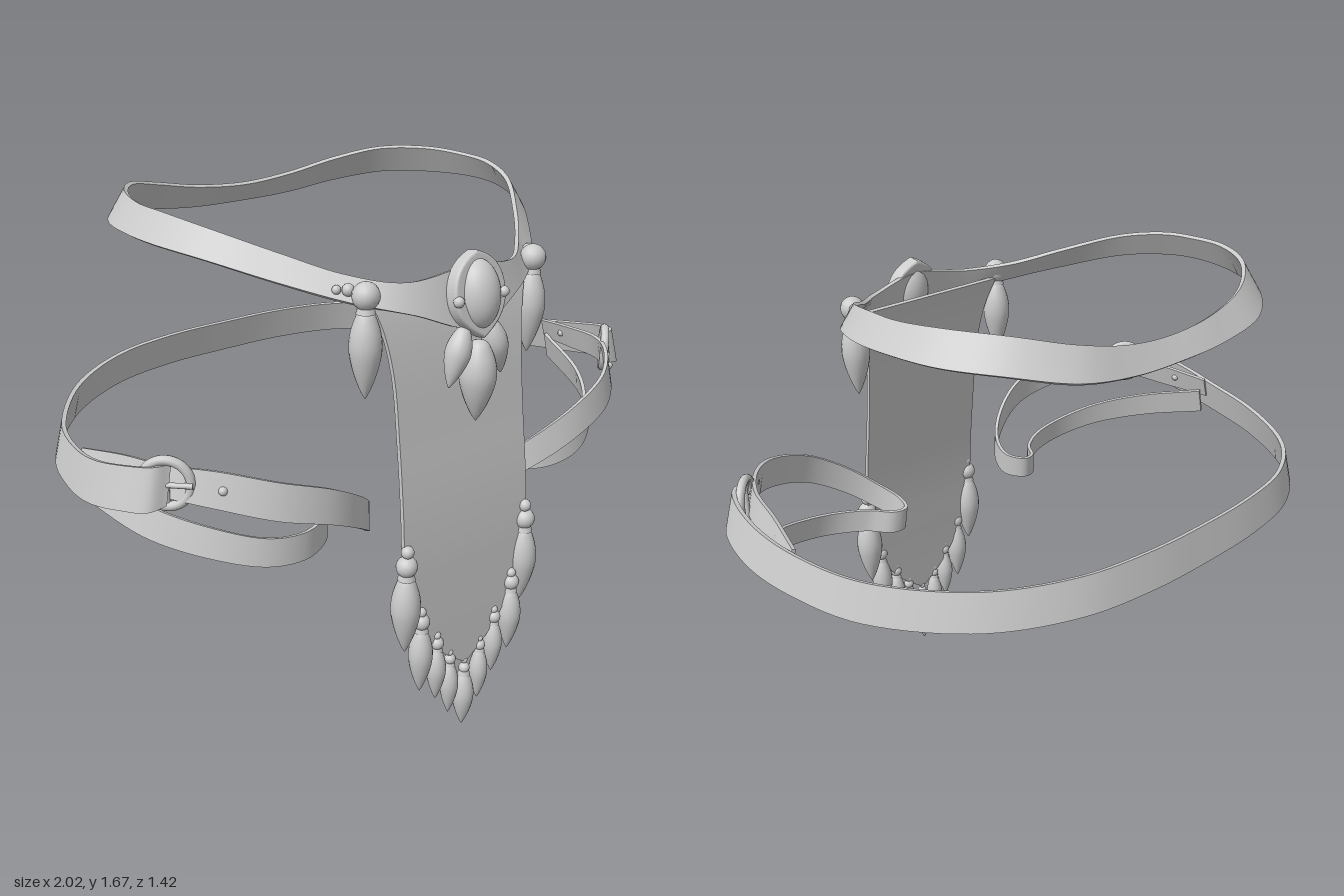
import * as THREE from 'three';

const mat = new THREE.MeshStandardMaterial({ color: 0xcccccc, side: THREE.DoubleSide });
const V = (x, y, z) => new THREE.Vector3(x, y, z);

function add(parent, name, geo, pos = [0, 0, 0], rot = [0, 0, 0], scale = [1, 1, 1]) {
  const m = new THREE.Mesh(geo, mat);
  m.name = name;
  m.position.set(...pos);
  m.rotation.set(...rot);
  m.scale.set(...scale);
  parent.add(m);
  return m;
}

// Flat strap of rectangular section, lofted between two edge rails
function strap(railA, railB, thick, steps, closed = false) {
  const ca = new THREE.CatmullRomCurve3(railA, closed), cb = new THREE.CatmullRomCurve3(railB, closed);
  const rows = [];
  for (let i = 0; i <= steps; i++) {
    const t = i / steps, a = ca.getPoint(t), b = cb.getPoint(t);
    const dir = ca.getTangent(t).add(cb.getTangent(t));
    const n = dir.cross(b.clone().sub(a)).normalize().multiplyScalar(thick / 2);
    rows.push([a.clone().add(n), b.clone().add(n), b.clone().sub(n), a.clone().sub(n)]);
  }
  const pos = [], idx = [];
  for (let k = 0; k < 4; k++) {
    const base = pos.length / 3;
    rows.forEach(r => pos.push(...r[k].toArray(), ...r[(k + 1) % 4].toArray()));
    for (let i = 0; i < steps; i++) {
      const p = base + i * 2;
      idx.push(p, p + 2, p + 3, p, p + 3, p + 1);
    }
  }
  if (!closed) [rows[0], rows[steps].slice().reverse()].forEach(r => {
    const p = pos.length / 3;
    r.forEach(v => pos.push(...v.toArray()));
    idx.push(p, p + 1, p + 2, p, p + 2, p + 3);
  });
  const g = new THREE.BufferGeometry();
  g.setAttribute('position', new THREE.Float32BufferAttribute(pos, 3));
  g.setIndex(idx);
  g.computeVertexNormals();
  return g;
}

// Upright strap from centre points [x, y, z, height]; the lower edge flares outward
function uprightStrap(pts, flare, thick, steps, s = 1) {
  const rail = d => pts.map(([x, y, z, h]) => V(s * x * (1 - d * flare), y + d * h / 2, z * (1 - d * flare)));
  return strap(rail(-1), rail(1), thick, steps);
}

// Full loop from one half: front centre to back centre, mirrored in x
const loop = half => [...half, ...half.slice(1, -1).reverse().map(([x, y, z]) => [-x, y, z])].map(p => V(...p));

const leafProfile = [[0, 0], [0.3, 0.1], [0.68, 0.28], [0.93, 0.46], [1, 0.6], [0.9, 0.75], [0.65, 0.89], [0.4, 0.97], [0, 1]];
const leafCurve = new THREE.SplineCurve(leafProfile.map(p => new THREE.Vector2(...p)));
const leaf = (r, len) => new THREE.LatheGeometry(
  leafCurve.getPoints(20).map(p => new THREE.Vector2(Math.max(0, p.x * r), (p.y - 1) * len)), 20);
const ball = r => new THREE.SphereGeometry(r, 16, 12);

// Hanging leaf drop with a collar and a bead on top
function pendant(parent, name, x, top, bottom, z, r, bead) {
  const g = new THREE.Group();
  g.name = name;
  g.position.set(x, top, z);
  add(g, 'drop', leaf(r, top - bottom));
  add(g, 'collar', new THREE.CylinderGeometry(r * 0.45, r * 0.6, r * 0.5, 16), [0, -r * 0.05, 0]);
  add(g, 'bead', ball(bead), [0, bead * 0.85, 0]);
  parent.add(g);
  return g;
}

// Pointed oval outline
function eye(shape, w, h) {
  shape.moveTo(0, h);
  shape.bezierCurveTo(w * 0.75, h * 0.8, w, h * 0.45, w, 0);
  shape.bezierCurveTo(w, -h * 0.45, w * 0.6, -h * 0.75, 0, -h);
  shape.bezierCurveTo(-w * 0.6, -h * 0.75, -w, -h * 0.45, -w, 0);
  shape.bezierCurveTo(-w, h * 0.45, -w * 0.75, h * 0.8, 0, h);
  return shape;
}

export function createModel() {
  const root = new THREE.Group();
  root.name = 'ornamentalBelt';

  // Upper belt, widening to a plate at the front
  const low = [[0, 1.36, 0.635], [0.2, 1.425, 0.595], [0.35, 1.465, 0.5], [0.48, 1.51, 0.365], [0.61, 1.56, 0.19], [0.675, 1.58, 0.03],
    [0.685, 1.585, -0.1], [0.65, 1.58, -0.27], [0.55, 1.57, -0.43], [0.4, 1.54, -0.54], [0.2, 1.515, -0.565], [0, 1.51, -0.57]];
  const high = [[0, 1.535, 0.6], [0.2, 1.51, 0.565], [0.33, 1.53, 0.46], [0.45, 1.58, 0.33], [0.57, 1.635, 0.17], [0.625, 1.66, 0.02],
    [0.635, 1.665, -0.1], [0.6, 1.67, -0.25], [0.5, 1.66, -0.4], [0.36, 1.625, -0.49], [0.19, 1.59, -0.52], [0, 1.575, -0.525]];
  add(root, 'upperBelt', strap(loop(low), loop(high), 0.014, 160, true));

  // Hanging cloth panel, tapering to a point
  const cloth = [[0.3, 1.47, 0.525], [0.27, 1.38, 0.55], [0.25, 1.25, 0.575], [0.247, 1.05, 0.602], [0.25, 0.85, 0.628],
    [0.25, 0.68, 0.643], [0.225, 0.53, 0.65], [0.17, 0.41, 0.655], [0.09, 0.315, 0.658], [0.004, 0.25, 0.66]];
  add(root, 'clothPanel', strap(cloth.map(([w, y, z]) => V(-w, y, z)), cloth.map(([w, y, z]) => V(w, y, z)), 0.014, 60));

  // Lower belt, open at the front
  const beltHalf = [[0.25, 0.973, -0.685, 0.115], [0.48, 0.968, -0.635, 0.115], [0.71, 0.957, -0.49, 0.115], [0.9, 0.952, -0.22, 0.115],
    [0.965, 0.968, 0, 0.115], [0.985, 0.995, 0.18, 0.12], [0.965, 1.025, 0.32, 0.12], [0.925, 1.035, 0.39, 0.12], [0.875, 1.04, 0.4, 0.11]];
  const beltPath = [...beltHalf.map(([x, ...r]) => [-x, ...r]).reverse(), [0, 0.973, -0.695, 0.115], ...beltHalf];
  add(root, 'lowerBelt', uprightStrap(beltPath, 0.016, 0.014, 140));

  // Side slings: tail, through the buckle, round the inner bend and back to the belt
  const sling = [[0.955, 1.0, 0.04, 0.07], [0.91, 1.02, 0.2, 0.08], [0.865, 1.035, 0.37, 0.085], [0.78, 1.03, 0.49, 0.1], [0.65, 0.995, 0.59, 0.105],
    [0.5, 0.945, 0.62, 0.1], [0.37, 0.87, 0.585, 0.095], [0.29, 0.805, 0.52, 0.09], [0.262, 0.775, 0.44, 0.085], [0.29, 0.772, 0.37, 0.08],
    [0.335, 0.77, 0.375, 0.08], [0.39, 0.77, 0.445, 0.08], [0.5, 0.775, 0.505, 0.08], [0.63, 0.795, 0.505, 0.08], [0.76, 0.835, 0.435, 0.085],
    [0.88, 0.88, 0.29, 0.09], [0.955, 0.94, 0.06, 0.09]];
  for (const s of [1, -1]) {
    const side = new THREE.Group();
    side.name = s > 0 ? 'leftSide' : 'rightSide';
    root.add(side);
    add(side, 'sling', uprightStrap(sling, 0.012, 0.012, 120, s));

    // Round buckle with a prong and strap studs
    const buckle = new THREE.Group();
    buckle.name = 'buckle';
    buckle.position.set(s * 0.875, 1.04, 0.39);
    buckle.rotation.y = s * 0.75;
    add(buckle, 'ring', new THREE.TorusGeometry(0.068, 0.014, 12, 36));
    add(buckle, 'bar', new THREE.CylinderGeometry(0.008, 0.008, 0.13, 10));
    add(buckle, 'prong', new THREE.CylinderGeometry(0.007, 0.009, 0.08, 10), [-s * 0.035, 0, 0.012], [0, 0, Math.PI / 2]);
    side.add(buckle);
    add(side, 'strapStud', ball(0.013), [s * 0.77, 1.03, 0.505]);
    add(side, 'tailStud', ball(0.012), [s * 0.915, 1.02, 0.16]);

    // Pendant at the corner of the plate
    pendant(side, 'cornerPendant', s * 0.32, 1.455, 1.19, 0.54, 0.047, 0.04);
    add(side, 'cornerBead', ball(0.018), [s * 0.345, 1.5, 0.495]);
    add(side, 'plateStud', ball(0.013), [s * 0.37, 1.5, 0.475]);

    // Fringe of drops down the slanted hem
    pendant(side, 'outerHemPendant', s * 0.245, 0.65, 0.38, 0.65, 0.046, 0.033);
    add(side, 'hemBead', ball(0.02), [s * 0.243, 0.725, 0.65]);
    [[0.19, 0.45, 0.22, 0.038, 0.026], [0.122, 0.35, 0.16, 0.031, 0.021], [0.064, 0.27, 0.08, 0.03, 0.018]].forEach(([x, t, b, r, k]) => {
      pendant(side, 'hemPendant', s * x, t, b, 0.662, r, k);
      add(side, 'hemBead', ball(k * 0.6), [s * x, t + k * 2.1, 0.66]);
    });

    // Small leaf beside the central drop
    add(side, 'broochLeaf', leaf(0.038, 0.18), [s * 0.05, 1.375, 0.645], [0, 0, s * 0.3]);
    add(side, 'broochBead', ball(0.016), [s * 0.086, 1.455, 0.655]);
  }
  pendant(root, 'centreHemPendant', 0, 0.21, 0.005, 0.662, 0.035, 0.018);
  add(root, 'centreHemBead', ball(0.011), [0, 0.252, 0.66]);

  // Central brooch: pointed oval frame, domed stone and drop
  const frame = eye(new THREE.Shape(), 0.088, 0.115);
  frame.holes.push(eye(new THREE.Path(), 0.066, 0.088));
  const frameGeo = new THREE.ExtrudeGeometry(frame, { depth: 0.03, bevelEnabled: true, bevelSize: 0.008, bevelThickness: 0.008, bevelSegments: 3, curveSegments: 16 });
  add(root, 'broochFrame', frameGeo, [0, 1.455, 0.618], [-0.2, 0, 0]);
  add(root, 'broochStone', new THREE.SphereGeometry(1, 28, 20), [0, 1.46, 0.64], [-0.15, 0, 0], [0.066, 0.1, 0.062]);
  add(root, 'broochDrop', leaf(0.055, 0.25), [0, 1.33, 0.655]);
  return root;
}
